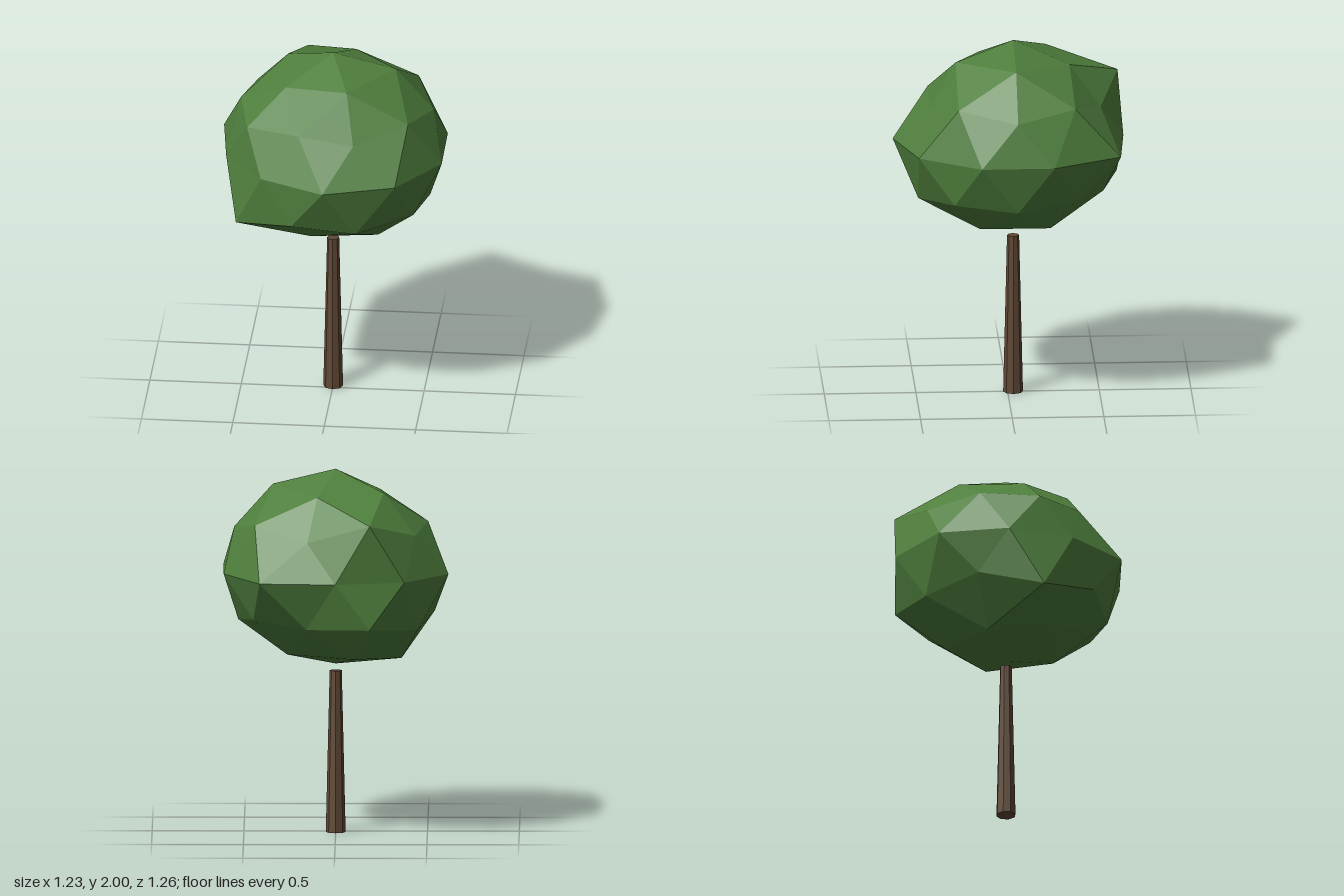
import * as THREE from 'three';

const RX = 0.65, RY = 0.55; // crown half width and half height

// A ring of crown points: start and step in degrees, direction (r, y), one bulge factor per point
function ring(start, step, r, y, bulges) {
  return bulges.map((f, i) => {
    const a = THREE.MathUtils.degToRad(start + step * i);
    const [rr, yy] = Array.isArray(r) ? [r[i % 2], y[i % 2]] : [r, y];
    return new THREE.Vector3(Math.sin(a) * rr * RX * f, yy * RY * f, Math.cos(a) * rr * RX * f);
  });
}

// Lumpy 80-sided ball: pole, inner ring, middle ring, equator, and the same below
function crownGeometry() {
  const top = new THREE.Vector3(0, RY, 0);
  const bottom = new THREE.Vector3(0, -0.95 * RY, 0);
  const A = ring(18, 72, 0.526, 0.851, [0.98, 1, 0.93, 0.95, 0.88]);
  const U = ring(18, 36, [0.894, 0.851], [0.447, 0.526],
    [0.84, 0.98, 0.95, 0.98, 0.85, 1.1, 0.93, 0.91, 0.94, 0.87]);
  const E = ring(0, 36, 1, 0, [1.01, 1.01, 0.99, 0.985, 1.08, 0.925, 0.985, 0.995, 0.92, 0.92]);
  const L = ring(18, 36, [0.851, 0.894], [-0.526, -0.447],
    [1, 1, 0.96, 0.95, 0.92, 1.04, 1, 0.93, 1.115, 1]);
  const B = ring(54, 72, 0.526, -0.851, [0.95, 0.95, 0.97, 1.05, 0.9]);

  const points = [];
  const face = (...p) => points.push(...p);
  // Caps
  for (let k = 0; k < 5; k++) {
    const n = (k + 1) % 5, j = 2 * k;
    face(top, A[k], A[n]);
    face(A[k], U[j], U[j + 1]);
    face(A[k], U[j + 1], A[n]);
    face(A[n], U[j + 1], U[(j + 2) % 10]);
    const m = j + 1, m1 = (j + 2) % 10, m2 = (j + 3) % 10;
    face(bottom, B[n], B[k]);
    face(B[k], L[m1], L[m]);
    face(B[k], B[n], L[m1]);
    face(B[n], L[m2], L[m1]);
  }
  // Bands either side of the equator
  for (let j = 0; j < 10; j++) {
    const n = (j + 1) % 10, p = (j + 9) % 10;
    face(E[j], U[j], U[p]);
    face(E[j], E[n], U[j]);
    face(E[j], L[p], L[j]);
    face(E[j], L[j], E[n]);
  }
  const geometry = new THREE.BufferGeometry().setFromPoints(points);
  geometry.computeVertexNormals();
  return geometry;
}

export function createModel() {
  const leafGreen = new THREE.MeshStandardMaterial({ color: 0x4f7f3d, flatShading: true });
  const barkBrown = new THREE.MeshStandardMaterial({ color: 0x5f4835, flatShading: true });
  const tree = new THREE.Group();
  tree.name = 'tree';

  const trunk = new THREE.Mesh(new THREE.CylinderGeometry(0.033, 0.054, 0.89, 8), barkBrown);
  trunk.name = 'trunk';
  trunk.position.set(0, 0.445, -0.03);

  const crown = new THREE.Mesh(crownGeometry(), leafGreen);
  crown.name = 'crown';
  crown.position.set(0, 1.45, -0.03);

  tree.add(trunk, crown);
  return tree;
}
